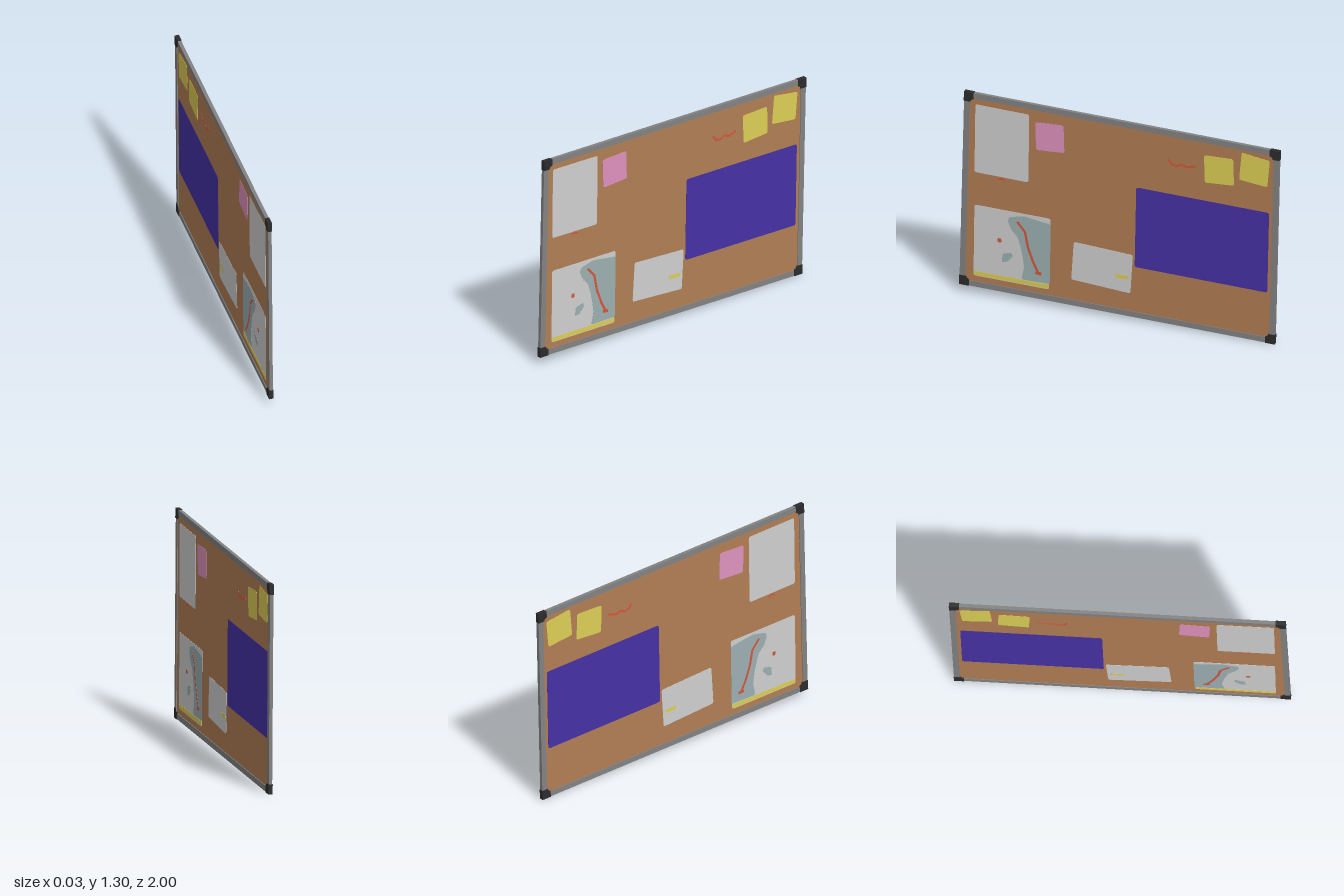
import * as THREE from 'three';

const mat = (name, color, extra = {}) => {
  const m = new THREE.MeshStandardMaterial({ color, ...extra });
  m.name = name;
  return m;
};

// Shape from points, with small rounded corners
function roundedShape(points, r = 0.014) {
  const v = points.map(p => new THREE.Vector2(p[0], p[1]));
  const shape = new THREE.Shape();
  v.forEach((p, i) => {
    const prev = v[(i + v.length - 1) % v.length], next = v[(i + 1) % v.length];
    const a = p.clone().add(prev.clone().sub(p).setLength(r));
    const b = p.clone().add(next.clone().sub(p).setLength(r));
    if (i === 0) shape.moveTo(a.x, a.y); else shape.lineTo(a.x, a.y);
    shape.quadraticCurveTo(p.x, p.y, b.x, b.y);
  });
  shape.closePath();
  return shape;
}

// Pen stroke: a ribbon of constant width along a polyline
function strokeShape(points, w) {
  const v = points.map(p => new THREE.Vector2(p[0], p[1]));
  const left = [], right = [];
  v.forEach((p, i) => {
    const d = v[Math.min(i + 1, v.length - 1)].clone().sub(v[Math.max(i - 1, 0)]).setLength(w / 2);
    left.push(new THREE.Vector2(p.x - d.y, p.y + d.x));
    right.unshift(new THREE.Vector2(p.x + d.y, p.y - d.x));
  });
  return new THREE.Shape([...left, ...right]);
}

export function createModel() {
  const cork = mat('cork', 0xb27e54);
  const railGrey = mat('rail grey', 0x838383);
  const cornerBlack = mat('corner black', 0x2c2c2e);
  const paper = mat('paper white', 0xd0d0d0);
  const pink = mat('note pink', 0xdf92bf);
  const yellow = mat('note yellow', 0xdccf56);
  const purple = mat('poster purple', 0x4731a6);
  const water = mat('map blue grey', 0x9db0b2);
  const ink = mat('marker orange', 0xd4583a);

  const model = new THREE.Group();
  model.name = 'pinboard';
  // The plane is drawn in x-y, then turned to face sideways
  const plane = new THREE.Group();
  plane.name = 'boardPlane';
  plane.rotation.y = Math.PI / 2;
  model.add(plane);

  const add = (parent, name, geo, material, x = 0, y = 0, z = 0) => {
    const mesh = new THREE.Mesh(geo, material);
    mesh.name = name;
    mesh.position.set(x, y, z);
    parent.add(mesh);
    return mesh;
  };

  // Slightly crooked frame with its cork sheet
  const W = 1.97, H = 1.257, RAIL = 0.035, CORNER = 0.06;
  const frame = new THREE.Group();
  frame.name = 'frame';
  frame.position.y = 0.6525;
  frame.rotation.z = -0.0244;
  plane.add(frame);
  add(frame, 'corkSheet', new THREE.BoxGeometry(W - RAIL, H - RAIL, 0.012), cork);
  for (const s of [-1, 1]) {
    add(frame, s > 0 ? 'topRail' : 'bottomRail',
      new THREE.BoxGeometry(W - 0.06, RAIL, 0.021), railGrey, 0, s * (H - RAIL - 0.002) / 2);
    add(frame, s > 0 ? 'backRail' : 'frontRail',
      new THREE.BoxGeometry(RAIL, H - 0.06, 0.021), railGrey, s * (W - RAIL - 0.002) / 2, 0);
  }

  // L-shaped corner caps, turned a quarter each
  const L = [[0, 0], [CORNER, 0], [CORNER, 0.04], [0.046, 0.046], [0.04, CORNER], [0, CORNER]];
  const capGeo = new THREE.ExtrudeGeometry(new THREE.Shape(L.map(p => new THREE.Vector2(...p))),
    { depth: 0.027, bevelEnabled: false });
  capGeo.translate(0, 0, -0.0135);
  [[-1, -1], [1, -1], [1, 1], [-1, 1]].forEach(([sx, sy], i) => {
    add(frame, 'cornerCap' + (i + 1), capGeo, cornerBlack, sx * W / 2, sy * H / 2).rotation.z = i * Math.PI / 2;
  });

  // Thin plate on both faces; layer raises it above what lies below
  const DEPTH = 0.0012;
  const pin = (name, shape, material, layer = 0) => {
    const geo = new THREE.ExtrudeGeometry(shape, { depth: DEPTH, bevelEnabled: false, curveSegments: 4 });
    geo.translate(0, 0, -DEPTH / 2);
    const off = 0.0066 + layer * 0.0009;
    add(plane, name + 'Right', geo, material, 0, 0, off);
    add(plane, name + 'Left', geo, material, 0, 0, -off);
  };

  // Sheets, notes and poster
  const sheets = [
    ['tallSheet', paper, [[-0.9, 1.23], [-0.564, 1.22], [-0.57, 0.78], [-0.906, 0.79]]],
    ['mapSheet', paper, [[-0.906, 0.578], [-0.43, 0.567], [-0.441, 0.107], [-0.912, 0.118]]],
    ['smallSheet', paper, [[-0.286, 0.444], [0.083, 0.422], [0.067, 0.171], [-0.302, 0.198]]],
    ['pinkNote', pink, [[-0.527, 1.18], [-0.35, 1.187], [-0.345, 1.01], [-0.521, 1.0]]],
    ['yellowNote', yellow, [[0.527, 1.15], [0.709, 1.155], [0.714, 0.984], [0.532, 0.973]]],
    ['cornerNote', yellow, [[0.762, 1.208], [0.938, 1.182], [0.922, 1.01], [0.746, 1.03]]],
    ['poster', purple, [[0.104, 0.866], [0.933, 0.845], [0.922, 0.326], [0.094, 0.348]]],
  ];
  for (const [name, m, pts] of sheets) pin(name, roundedShape(pts), m);

  // Printed areas on the map and the small sheet
  pin('mapWater', roundedShape([[-0.687, 0.535], [-0.596, 0.556], [-0.43, 0.53], [-0.436, 0.144],
    [-0.612, 0.144], [-0.596, 0.225], [-0.607, 0.305], [-0.634, 0.41], [-0.676, 0.455], [-0.698, 0.508]], 0.012), water, 1);
  pin('mapLake', roundedShape([[-0.73, 0.289], [-0.676, 0.305], [-0.666, 0.283], [-0.703, 0.24],
    [-0.735, 0.235]], 0.006), water, 1);
  pin('mapStrip', roundedShape([[-0.908, 0.148], [-0.441, 0.139], [-0.441, 0.112], [-0.91, 0.122]], 0.004), yellow, 2);
  pin('sheetMark', roundedShape([[-0.028, 0.283], [0.05, 0.281], [0.056, 0.257], [-0.022, 0.259]], 0.006), yellow, 1);

  // Marker strokes
  pin('mapRoute', strokeShape([[-0.639, 0.513], [-0.59, 0.455], [-0.572, 0.36], [-0.54, 0.27], [-0.505, 0.198]], 0.015), ink, 2);
  pin('routeEnd', strokeShape([[-0.525, 0.205], [-0.488, 0.2]], 0.02), ink, 3);
  pin('mapDot', roundedShape([[-0.763, 0.386], [-0.738, 0.386], [-0.738, 0.36], [-0.763, 0.36]], 0.009), ink, 1);
  pin('wallScribble', strokeShape([[0.305, 1.085], [0.325, 1.055], [0.36, 1.05], [0.385, 1.065],
    [0.42, 1.052], [0.445, 1.06], [0.475, 1.068]], 0.014), ink);
  pin('lowScribble', strokeShape([[-0.757, 0.768], [-0.735, 0.774], [-0.714, 0.766]], 0.012), ink);

  return model;
}
